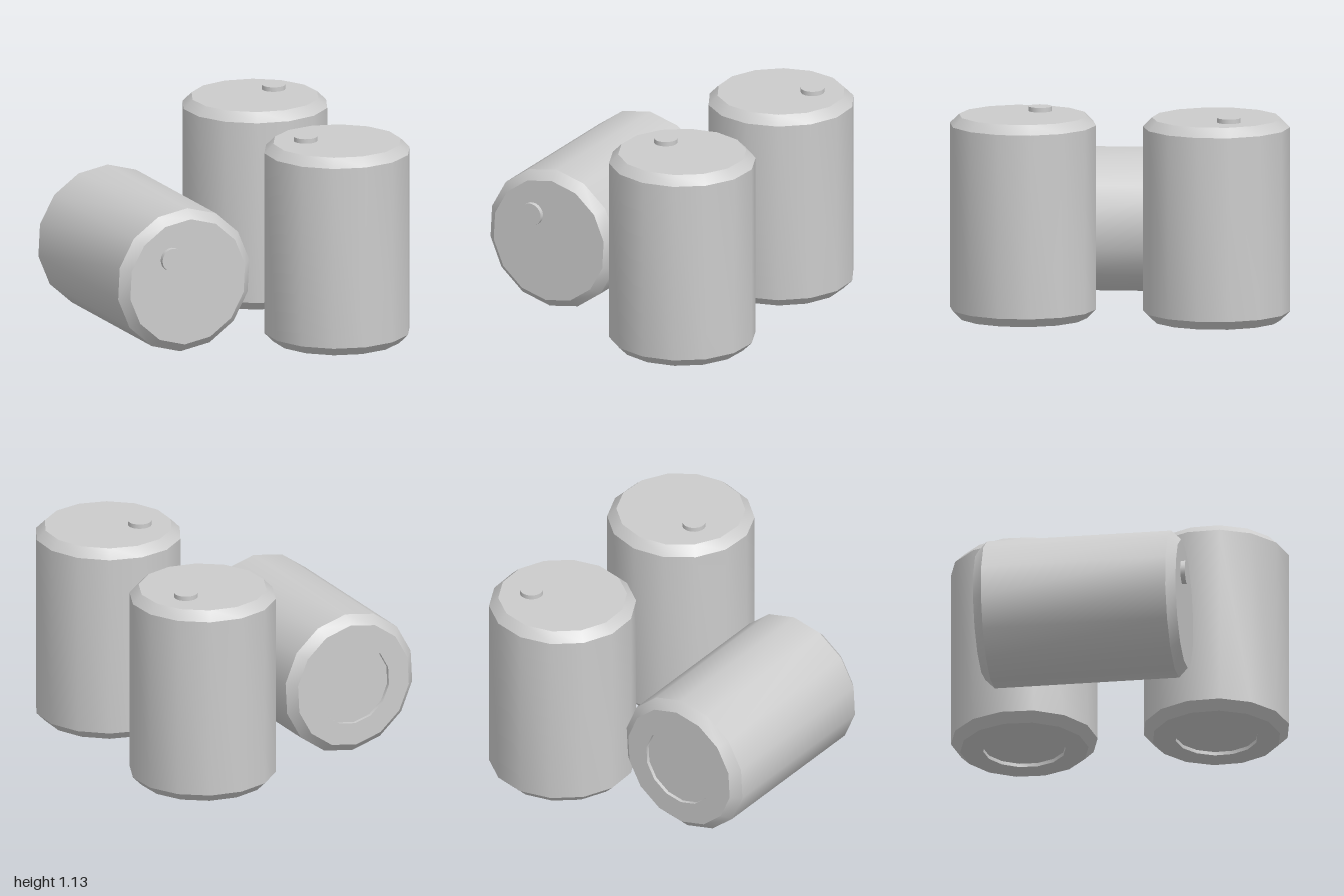
import * as THREE from 'three';
import { toCreasedNormals } from 'three/addons/utils/BufferGeometryUtils.js';

const SIDES = 14, RADIUS = 0.4, RIM = 0.35, HEIGHT = 1.11, BEVEL = 0.05;
const rad = THREE.MathUtils.degToRad;

export function createModel() {
  const model = new THREE.Group();
  model.name = 'barrels';
  const material = new THREE.MeshStandardMaterial({ color: 0xcccccc });

  // Body profile, from the recessed base, up the wall and in over the lid
  const profile = [
    [0, 0.02], [0.225, 0.02], [0.225, 0], [RIM, 0], [RADIUS, BEVEL],
    [RADIUS, HEIGHT - BEVEL], [RIM, HEIGHT], [0, HEIGHT],
  ].map(([x, y]) => new THREE.Vector2(x, y));
  const bodyGeometry = toCreasedNormals(new THREE.LatheGeometry(profile, SIDES), 0.5);

  // Small round bung sitting off-centre on the lid
  const bungGeometry = new THREE.CylinderGeometry(0.064, 0.064, 0.035, 20);

  // spin turns the barrel about its own axis
  function addBarrel(name, x, y, z, spin) {
    const barrel = new THREE.Group();
    barrel.name = name;
    barrel.position.set(x, y, z);
    const spun = new THREE.Group();
    spun.name = name + 'Parts';
    spun.rotation.y = rad(spin);

    const body = new THREE.Mesh(bodyGeometry, material);
    body.name = 'body';
    const bung = new THREE.Mesh(bungGeometry, material);
    bung.name = 'bung';
    bung.position.set(0.171, HEIGHT + 0.0075, 0);

    spun.add(body, bung);
    barrel.add(spun);
    model.add(barrel);
    return barrel;
  }

  // Two standing barrels
  addBarrel('leftBarrel', 0.59, 0, -0.33, 0);
  addBarrel('frontBarrel', 0.09, 0, 0.597, 123.8);

  // One barrel lying on its side, lid towards the front
  const lying = addBarrel('lyingBarrel', -0.132, 0.406, -0.84, 125.5);
  lying.rotation.set(Math.PI / 2, rad(-28), 0, 'YXZ');

  return model;
}
